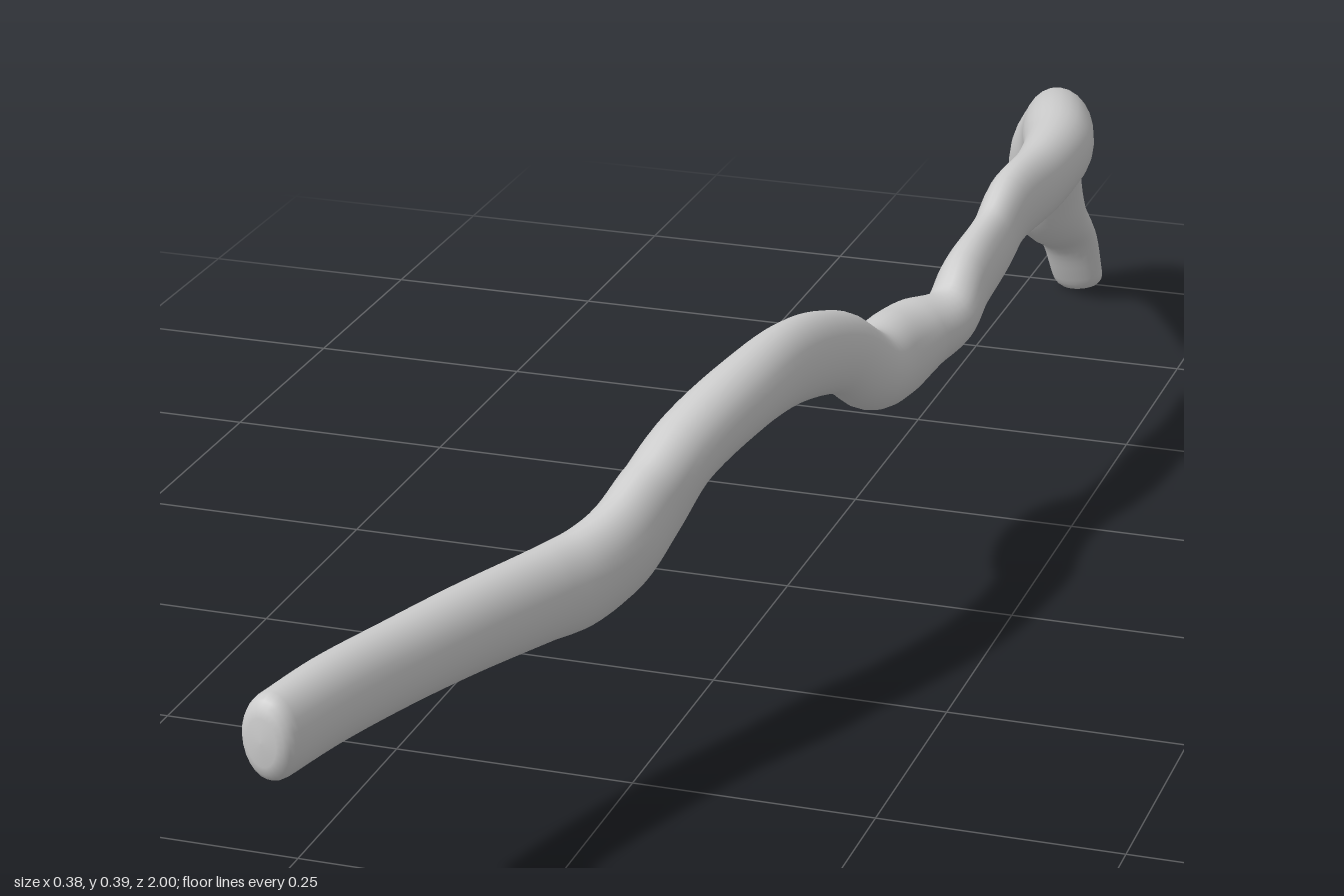
import * as THREE from 'three';

// Stations along the branch, from the front cut to the hooked back tip:
// centre x, y, z, then half width (sideways) and half height (across the bend)
const STATIONS = [
  [-0.165, 0.247, 0.98, 0.029, 0.043],
  [-0.148, 0.247, 0.9, 0.032, 0.043],
  [-0.122, 0.243, 0.8, 0.033, 0.043],
  [-0.09, 0.240, 0.7, 0.034, 0.045],
  [-0.052, 0.237, 0.6, 0.034, 0.048],
  [-0.03, 0.238, 0.55, 0.034, 0.052],
  [-0.01, 0.252, 0.5, 0.035, 0.054],
  [0.003, 0.278, 0.45, 0.035, 0.052],
  [0.02, 0.313, 0.4, 0.035, 0.043],
  [0.05, 0.340, 0.3, 0.034, 0.043],
  [0.07, 0.341, 0.2, 0.031, 0.045],
  [0.088, 0.315, 0.1, 0.032, 0.043],
  [0.099, 0.272, 0.03, 0.038, 0.043],
  [0.1, 0.26, -0.04, 0.041, 0.049],
  [0.11, 0.262, -0.1, 0.041, 0.042],
  [0.133, 0.268, -0.15, 0.031, 0.034],
  [0.137, 0.289, -0.2, 0.028, 0.042],
  [0.14, 0.303, -0.3, 0.025, 0.042],
  [0.144, 0.324, -0.35, 0.027, 0.044],
  [0.152, 0.327, -0.45, 0.033, 0.043],
  [0.147, 0.327, -0.55, 0.039, 0.043],
  [0.122, 0.315, -0.65, 0.041, 0.046],
  [0.094, 0.285, -0.75, 0.039, 0.049],
  [0.066, 0.250, -0.84, 0.038, 0.049],
  [0.046, 0.208, -0.888, 0.043, 0.053],
  [0.042, 0.158, -0.906, 0.044, 0.045],
  [0.045, 0.115, -0.927, 0.043, 0.04],
  [0.058, 0.075, -0.96, 0.036, 0.025],
  [0.066, 0.02, -0.98, 0.032, 0.018],
];
const SIDES = 24;
const STEPS = 168;
const CAP = 5;

function createBranchGeometry() {
  const path = new THREE.CatmullRomCurve3(
    STATIONS.map(([x, y, z]) => new THREE.Vector3(x, y, z)));
  const sizes = new THREE.CatmullRomCurve3(
    STATIONS.map(([, , , w, h]) => new THREE.Vector3(w, h, 0)), false, 'catmullrom', 0.5);
  const positions = [];
  const indices = [];
  const xAxis = new THREE.Vector3(1, 0, 0);

  // One elliptical ring; slide and scale shape the rounded ends
  const addRing = (t, slide = 0, scale = 1) => {
    const tangent = path.getTangent(t);
    const centre = path.getPoint(t).addScaledVector(tangent, slide);
    const size = sizes.getPoint(t).multiplyScalar(scale);
    const side = xAxis.clone().addScaledVector(tangent, -tangent.x).normalize();
    const up = side.clone().cross(tangent);
    for (let j = 0; j < SIDES; j++) {
      const a = (j / SIDES) * Math.PI * 2;
      const p = centre.clone()
        .addScaledVector(side, size.x * Math.cos(a))
        .addScaledVector(up, size.y * Math.sin(a));
      positions.push(p.x, p.y, p.z);
    }
  };

  // Rounded front end, body, rounded tip
  for (let k = CAP; k > 0; k--) {
    const a = (k / CAP) * Math.PI / 2;
    addRing(0, -0.02 * Math.sin(a), Math.max(0.01, Math.sqrt(Math.cos(a))));
  }
  for (let i = 0; i <= STEPS; i++) addRing(i / STEPS);
  for (let k = 1; k <= CAP; k++) {
    const a = (k / CAP) * Math.PI / 2;
    addRing(1, 0.02 * Math.sin(a), Math.max(0.01, Math.sqrt(Math.cos(a))));
  }

  // Skin between neighbouring rings
  const rings = positions.length / 3 / SIDES;
  for (let i = 0; i < rings - 1; i++) {
    for (let j = 0; j < SIDES; j++) {
      const a = i * SIDES + j;
      const b = i * SIDES + (j + 1) % SIDES;
      indices.push(a, a + SIDES, b, b, a + SIDES, b + SIDES);
    }
  }
  // Close the tiny end rings
  const last = (rings - 1) * SIDES;
  for (let j = 1; j < SIDES - 1; j++) {
    indices.push(0, j, j + 1, last, last + j + 1, last + j);
  }

  const geometry = new THREE.BufferGeometry();
  geometry.setAttribute('position', new THREE.Float32BufferAttribute(positions, 3));
  geometry.setIndex(indices);
  geometry.computeVertexNormals();
  return geometry;
}

export function createModel() {
  const group = new THREE.Group();
  const branch = new THREE.Mesh(
    createBranchGeometry(), new THREE.MeshStandardMaterial({ color: 0xcccccc }));
  branch.name = 'branch';
  group.add(branch);
  return group;
}
